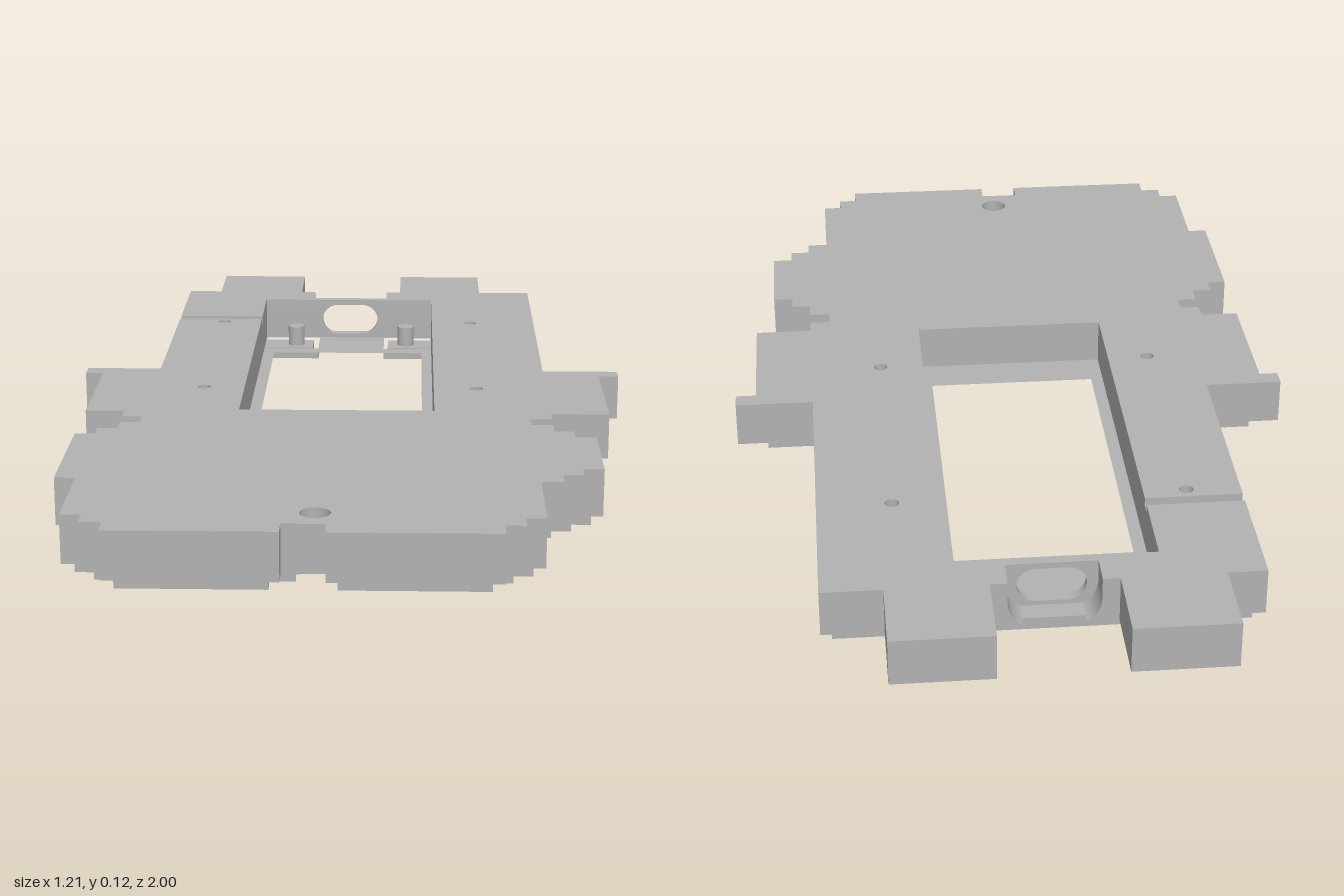
import * as THREE from 'three';

const BASE = 0.026, GROOVE = 0.108, TOP = 0.125;

// Outline runs are [x, z] pairs, listed clockwise as seen from above.
const rightTab = [[0.435, -0.09], [0.604, -0.09], [0.604, -0.05], [0.56, -0.05]];
const rightSide = [
  [0.56, 0.245], [0.435, 0.245], [0.435, 0.285], [0.39, 0.285], [0.39, 0.325],
  [0.435, 0.325], [0.435, 0.37], [0.477, 0.37], [0.477, 0.41], [0.52, 0.41], [0.52, 0.62],
  [0.477, 0.62], [0.477, 0.66], [0.435, 0.66], [0.435, 0.70], [0.39, 0.70]];
const frontEdge = [
  [0.39, 0.915], [0.35, 0.915], [0.35, 0.955], [0.31, 0.955], [0.31, 1], [-0.022, 1],
  [-0.022, 0.955], [-0.107, 0.955], [-0.107, 1], [-0.44, 1], [-0.44, 0.955],
  [-0.483, 0.955], [-0.483, 0.915], [-0.525, 0.915]];
const leftSide = [
  [-0.525, 0.70], [-0.567, 0.70], [-0.567, 0.41], [-0.525, 0.41], [-0.525, 0.37],
  [-0.483, 0.37], [-0.483, 0.325], [-0.44, 0.325], [-0.44, 0.285], [-0.483, 0.285],
  [-0.483, 0.245], [-0.567, 0.245]];
const leftTab = [[-0.567, -0.05], [-0.607, -0.05], [-0.607, -0.09], [-0.44, -0.09]];
const rightHorn = [[0.105, -0.83], [0.105, -1], [0.31, -1], [0.31, -0.83], [0.435, -0.83]];
const leftHorn = [[-0.44, -0.83], [-0.36, -0.83], [-0.36, -1], [-0.15, -1], [-0.15, -0.83]];
const socketLeft = [[-0.115, -0.83], [-0.115, -0.745], [-0.237, -0.745]];
const pocketFront = [[-0.237, 0.228], [0.185, 0.228]];
const socketRight = [[0.185, -0.745], [0.07, -0.745], [0.07, -0.83]];
const around = [...rightHorn, ...rightTab, ...rightSide, ...frontEdge, ...leftSide, ...leftTab];

const toShape = (pts) => new THREE.Shape(pts.map(([x, z]) => new THREE.Vector2(x, -z)));
const rect = (x0, x1, z0, z1) => toShape([[x0, z0], [x1, z0], [x1, z1], [x0, z1]]);
const circle = (x, z, r) => new THREE.Shape().absarc(x, -z, r, 0, Math.PI * 2);

// Extrude plan shapes upwards from y0 to y1
function slab(shapes, y0, y1) {
  const g = new THREE.ExtrudeGeometry(shapes, { depth: y1 - y0, bevelEnabled: false, curveSegments: 16 });
  return g.rotateX(-Math.PI / 2).translate(0, y0, 0);
}

// Move every edge of a right-angled clockwise outline inwards
function inset(pts, d) {
  const n = pts.length;
  const normal = (a, b) => [-Math.sign(b[1] - a[1]), Math.sign(b[0] - a[0])];
  return pts.map((p, i) => {
    const m = normal(pts[(i + n - 1) % n], p), k = normal(p, pts[(i + 1) % n]);
    return [p[0] + d * (m[0] + k[0]), p[1] + d * (m[1] + k[1])];
  });
}

export function createModel() {
  const model = new THREE.Group();
  const grey = new THREE.MeshStandardMaterial({ color: 0xb2b2b2 });
  grey.name = 'plain grey';
  const add = (name, geometry) => {
    const mesh = new THREE.Mesh(geometry, grey);
    mesh.name = name;
    model.add(mesh);
    return mesh;
  };
  const box = (name, x0, x1, y0, y1, z0, z1) =>
    add(name, new THREE.BoxGeometry(x1 - x0, y1 - y0, z1 - z0)
      .translate((x0 + x1) / 2, (y0 + y1) / 2, (z0 + z1) / 2));

  const holes = () => {
    const list = [circle(-0.045, 0.893, 0.03)];
    for (const x of [-0.327, 0.28]) for (const z of [-0.52, 0.055]) list.push(circle(x, z, 0.015));
    return list;
  };

  // Thick body, open in the middle and at the back socket
  const body = toShape([...around, ...leftHorn, ...socketLeft, ...pocketFront, ...socketRight]);
  body.holes.push(...holes());
  add('body', slab(body, BASE, GROOVE));

  // Top of the body, parted by a narrow groove on one side
  const mainTop = toShape([...around, [-0.44, -0.547], [-0.237, -0.547], ...pocketFront, ...socketRight]);
  mainTop.holes.push(...holes());
  const cornerTop = toShape([...leftHorn, ...socketLeft, [-0.237, -0.573], [-0.44, -0.573]]);
  add('bodyTop', slab([mainTop, cornerTop], GROOVE, TOP));

  // Inset base plate with window, button slots and grooves underneath
  const plateOutline = inset([
    [0.435, -0.83], [0.435, -0.09], [0.56, -0.09], ...rightSide,
    [0.39, 0.912], [-0.525, 0.912], ...leftSide,
    [-0.567, -0.09], [-0.44, -0.09], [-0.44, -0.83]], 0.022);
  const at = plateOutline.findIndex(([x, z]) => x < 0 && z > 0.88);
  plateOutline.splice(at, 0, [-0.015, 0.89], [-0.015, 0.863], [-0.075, 0.863], [-0.075, 0.89]);
  const plate = toShape(plateOutline);
  plate.holes.push(
    rect(-0.21, 0.16, -0.595, 0.135),
    rect(-0.235, -0.10, -0.74, -0.635), rect(0.065, 0.183, -0.74, -0.635),
    rect(-0.32, 0.22, 0.40, 0.42), rect(-0.37, 0.25, 0.60, 0.62));
  for (const x of [-0.36, 0.08]) plate.holes.push(rect(x, x + 0.22, 0.72, 0.85));
  add('basePlate', slab(plate, 0, BASE));

  // Panels inside the rectangular grooves, each with a short slot
  for (const x of [-0.36, 0.08]) {
    const panel = rect(x + 0.01, x + 0.21, 0.73, 0.84);
    panel.holes.push(rect(x + 0.07, x + 0.15, 0.775, 0.79));
    add('underPanel', slab(panel, 0, BASE));
  }

  // Thin ribs under the front edge
  for (const [x0, x1, z0, z1] of [
    [-0.46, -0.08, 0.917, 0.933], [-0.01, 0.328, 0.917, 0.933],
    [-0.418, -0.129, 0.96, 0.977], [0, 0.288, 0.96, 0.977]]) {
    box('frontRib', x0, x1, 0.002, BASE, z0, z1);
  }

  // Springy button tabs with round posts
  for (const [x0, x1, px] of [[-0.237, -0.115, -0.158], [0.075, 0.185, 0.12]]) {
    box('buttonTab', x0, x1, 0.004, 0.024, -0.725, -0.65);
    add('buttonPost', new THREE.CylinderGeometry(0.02, 0.02, 0.05, 20)).position.set(px, 0.047, -0.687);
  }

  // Rounded corners of the back socket
  const mid = -0.0225;
  for (const s of [-1, 1]) {
    const px = (d) => mid + s * d;
    const corner = new THREE.Shape();
    corner.moveTo(px(0.0925), BASE);
    corner.lineTo(px(0.0925), 0.075);
    corner.quadraticCurveTo(px(0.088), 0.038, px(0.0625), BASE);
    add('socketCorner', new THREE.ExtrudeGeometry(corner, { depth: 0.065, bevelEnabled: false })
      .translate(0, 0, -0.83));
  }

  // Thin socket wall with an oblong opening
  const wall = new THREE.Shape();
  wall.moveTo(-0.115, BASE);
  wall.lineTo(0.07, BASE);
  wall.lineTo(0.07, TOP);
  wall.lineTo(-0.115, TOP);
  wall.closePath();
  const opening = new THREE.Path();
  opening.absarc(mid + 0.032, 0.074, 0.038, -Math.PI / 2, Math.PI / 2);
  opening.absarc(mid - 0.032, 0.074, 0.038, Math.PI / 2, Math.PI * 1.5);
  opening.closePath();
  wall.holes.push(opening);
  add('socketWall', new THREE.ExtrudeGeometry(wall, { depth: 0.02, bevelEnabled: false, curveSegments: 16 })
    .translate(0, 0, -0.765));

  return model;
}
